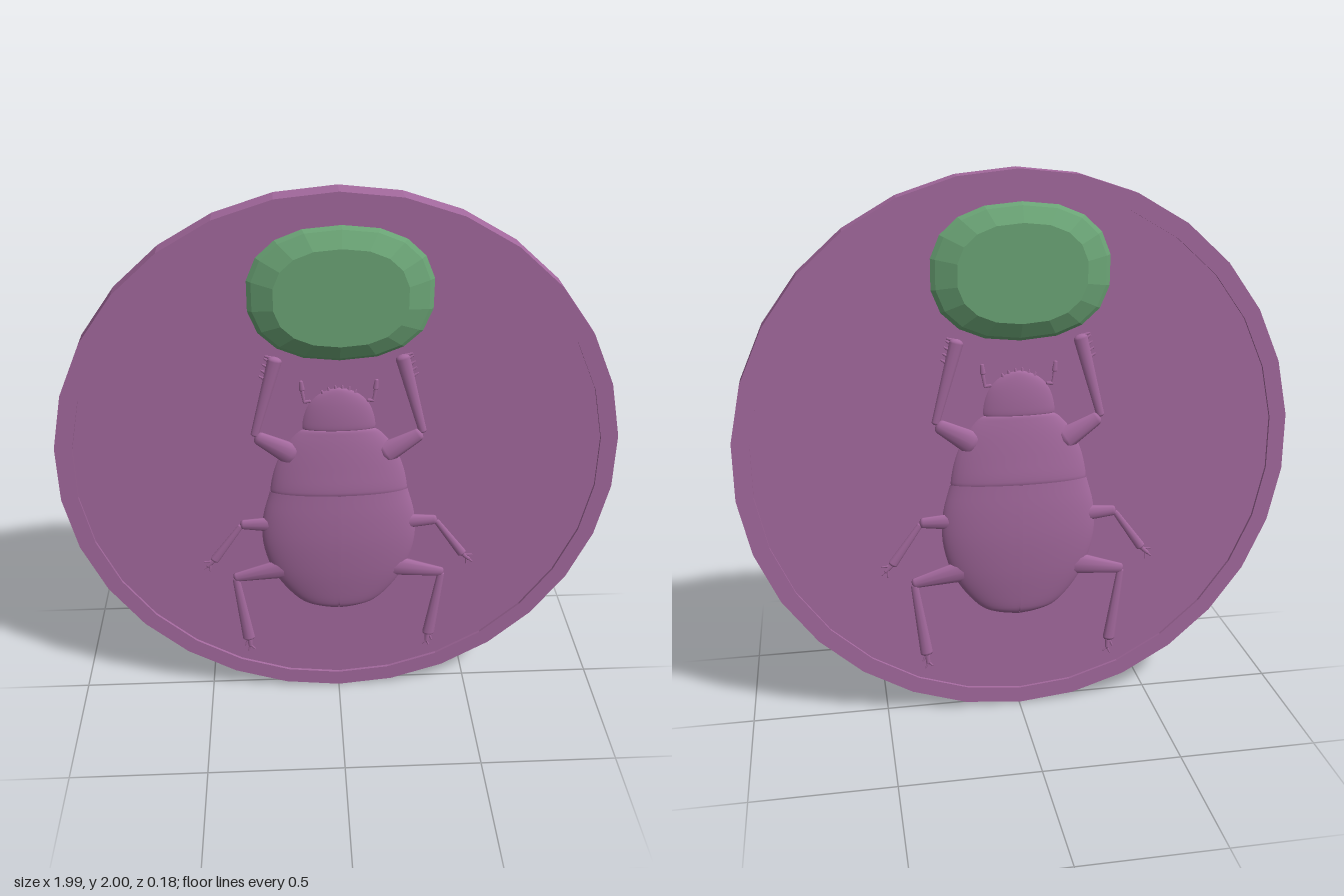
import * as THREE from 'three';

const purple = new THREE.MeshStandardMaterial({ color: 0xa56a9f, side: THREE.DoubleSide });
const purpleFlat = new THREE.MeshStandardMaterial({ color: 0xa56a9f, flatShading: true });
const green = new THREE.MeshStandardMaterial({ color: 0x6ca677, flatShading: true, side: THREE.DoubleSide });
const FLOOR = 0.03;

function add(parent, name, geometry, material = purple) {
  const mesh = new THREE.Mesh(geometry, material);
  mesh.name = name;
  parent.add(mesh);
  return mesh;
}

// Grid of points(row, column) joined into a surface; rows run up, columns run right to left.
function grid(rows, cols, point) {
  const pos = [], index = [];
  for (let j = 0; j <= rows; j++) for (let i = 0; i <= cols; i++) {
    pos.push(...point(j / rows, i / cols));
    if (j < rows && i < cols) {
      const a = j * (cols + 1) + i, b = a + cols + 1;
      index.push(a, b, a + 1, b, b + 1, a + 1);
    }
  }
  const g = new THREE.BufferGeometry();
  g.setAttribute('position', new THREE.Float32BufferAttribute(pos, 3));
  g.setIndex(index);
  g.computeVertexNormals();
  return g;
}

// Domed shell from [y, half width, top z] sections, swept over an angle range.
function shell(sections, a0 = 0, a1 = Math.PI, drop = 0) {
  const base = 0.02;
  const curve = new THREE.CatmullRomCurve3(sections.map(s => new THREE.Vector3(...s)));
  return grid(28, 20, (v, u) => {
    const p = curve.getPoint(v), a = a0 + (a1 - a0) * u;
    const w = Math.max(p.y - drop, 0);
    return [w * Math.cos(a), p.x, base + (p.z - base - drop) * Math.sin(a)];
  });
}

// Tapered limb with rounded ends, flattened against the floor.
function limb(parent, name, [x0, y0], [x1, y1], r0, r1, z = FLOOR, flat = 0.6) {
  const len = Math.hypot(x1 - x0, y1 - y0), pts = [];
  for (let i = 0; i <= 4; i++) {
    const a = (i / 4) * Math.PI / 2;
    pts.push(new THREE.Vector2(r0 * Math.sin(a), -r0 * 0.6 * Math.cos(a)));
  }
  for (let i = 0; i <= 4; i++) {
    const a = (i / 4) * Math.PI / 2;
    pts.push(new THREE.Vector2(r1 * Math.cos(a), len + r1 * 0.6 * Math.sin(a)));
  }
  const m = add(parent, name, new THREE.LatheGeometry(pts, 10));
  m.position.set(x0, y0, z);
  m.rotation.z = Math.atan2(x0 - x1, y1 - y0);
  m.scale.z = flat;
}

function makeGem() {
  // [scale, z] from the buried base over the girdle to the flat table
  const profile = [[0.96, 0], [0.96, 0.04], [1, 0.047], [0.95, 0.058], [0.72, 0.088], [0, 0.088]];
  const sp = (t) => Math.sign(t) * Math.abs(t) ** 0.85;
  return grid(5, 18, (v, u) => {
    const [s, z] = profile[Math.round(v * 5)], a = -u * Math.PI * 2 + 0.17;
    return [0.005 + 0.312 * s * sp(Math.cos(a)), 1.66 + 0.235 * s * sp(Math.sin(a)), z];
  });
}

function makeLegs(parent, s) {
  const side = s > 0 ? 'left' : 'right';
  const leg = (name) => {
    const g = new THREE.Group();
    g.name = side + name;
    parent.add(g);
    return (part, x0, y0, x1, y1, r0, r1, z, flat) =>
      limb(g, part, [s * x0, y0], [s * x1, y1], r0, r1, z, flat);
  };

  // Front leg with a toothed shin
  let p = leg('FrontLeg');
  p('thigh', 0.17, 1.06, 0.28, 1.125, 0.045, 0.026, 0.032, 0.5);
  p('shin', 0.295, 1.14, 0.218, 1.42, 0.015, 0.026);
  for (let i = 0; i < 4; i++) {
    const y = 1.35 + i * 0.022, x = 0.25 - i * 0.006;
    p('tooth', x, y, x + 0.022, y + 0.014, 0.007, 0.003);
  }
  p('foot', 0.225, 1.43, 0.25, 1.438, 0.007, 0.004);

  // Middle leg
  p = leg('MiddleLeg');
  p('thigh', 0.24, 0.765, 0.35, 0.767, 0.032, 0.02, 0.032, 0.5);
  p('shin', 0.362, 0.757, 0.462, 0.615, 0.011, 0.018);
  p('foot', 0.465, 0.61, 0.49, 0.585, 0.009, 0.007);
  p('claw', 0.487, 0.588, 0.505, 0.572, 0.005, 0.003);
  p('claw', 0.482, 0.588, 0.482, 0.562, 0.005, 0.003);
  p('spur', 0.47, 0.605, 0.502, 0.604, 0.005, 0.003);

  // Hind leg
  p = leg('HindLeg');
  p('thigh', 0.2, 0.57, 0.385, 0.532, 0.045, 0.02, 0.032, 0.45);
  p('shin', 0.387, 0.52, 0.35, 0.245, 0.014, 0.024);
  p('foot', 0.347, 0.23, 0.345, 0.2, 0.01, 0.008);
  p('claw', 0.345, 0.2, 0.355, 0.177, 0.005, 0.003);
  p('claw', 0.342, 0.2, 0.328, 0.185, 0.005, 0.003);
  p('spur', 0.355, 0.228, 0.365, 0.205, 0.005, 0.003);

  // Antenna
  p = leg('Antenna');
  p('stalk', 0.1, 1.265, 0.12, 1.262, 0.006, 0.006);
  p('stalk', 0.12, 1.262, 0.128, 1.31, 0.005, 0.007);
  p('club', 0.127, 1.31, 0.13, 1.34, 0.01, 0.007);
}

function makeBeetle() {
  const g = new THREE.Group();
  g.name = 'beetle';

  // Wing cases over a slightly smaller abdomen, leaving a centre groove
  const wings = [[0.375, 0, 0.03], [0.387, 0.085, 0.042], [0.41, 0.14, 0.052], [0.48, 0.205, 0.064],
    [0.57, 0.255, 0.075], [0.69, 0.284, 0.083], [0.8, 0.28, 0.083], [0.905, 0.253, 0.078]];
  add(g, 'abdomen', shell(wings, 0, Math.PI, 0.008));
  add(g, 'leftWingCase', shell(wings, 0, Math.PI / 2 - 0.022));
  add(g, 'rightWingCase', shell(wings, Math.PI / 2 + 0.022, Math.PI));

  // Thorax and head
  add(g, 'thorax', shell([[0.9, 0.25, 0.073], [0.914, 0.251, 0.076], [1.0, 0.235, 0.07],
    [1.08, 0.202, 0.062], [1.13, 0.165, 0.055], [1.153, 0.138, 0.05], [1.157, 0.11, 0.042]]));
  add(g, 'head', shell([[1.15, 0.125, 0.046], [1.158, 0.134, 0.05], [1.2, 0.131, 0.051],
    [1.25, 0.114, 0.048], [1.285, 0.085, 0.043], [1.307, 0.045, 0.037], [1.315, 0, 0.03]]));
  for (let i = 0; i < 6; i++) {
    const a = Math.PI / 2 + (i - 2.5) * 0.22, c = Math.cos(a), t = Math.sin(a);
    limb(g, 'headTooth', [0.1 * c, 1.203 + 0.1 * t], [0.115 * c, 1.203 + 0.12 * t], 0.008, 0.003);
  }
  for (const s of [1, -1]) makeLegs(g, s);
  return g;
}

export function createModel() {
  const model = new THREE.Group();
  model.name = 'beetleMedallion';

  // Disc with a raised rim on both faces
  const rim = [[0, -FLOOR], [0.938, -FLOOR], [0.938, -0.04], [1, -0.04],
    [1, 0.04], [0.938, 0.04], [0.938, FLOOR], [0, FLOOR]];
  const disc = add(model, 'disc',
    new THREE.LatheGeometry(rim.map(p => new THREE.Vector2(...p)), 30), purpleFlat);
  disc.rotation.x = Math.PI / 2;
  disc.position.y = 1;

  // The same relief on front and back
  ['front', 'back'].forEach((name, i) => {
    const face = new THREE.Group();
    face.name = name + 'Relief';
    face.add(makeBeetle());
    add(face, 'gem', makeGem(), green);
    face.rotation.y = i * Math.PI;
    model.add(face);
  });
  return model;
}
